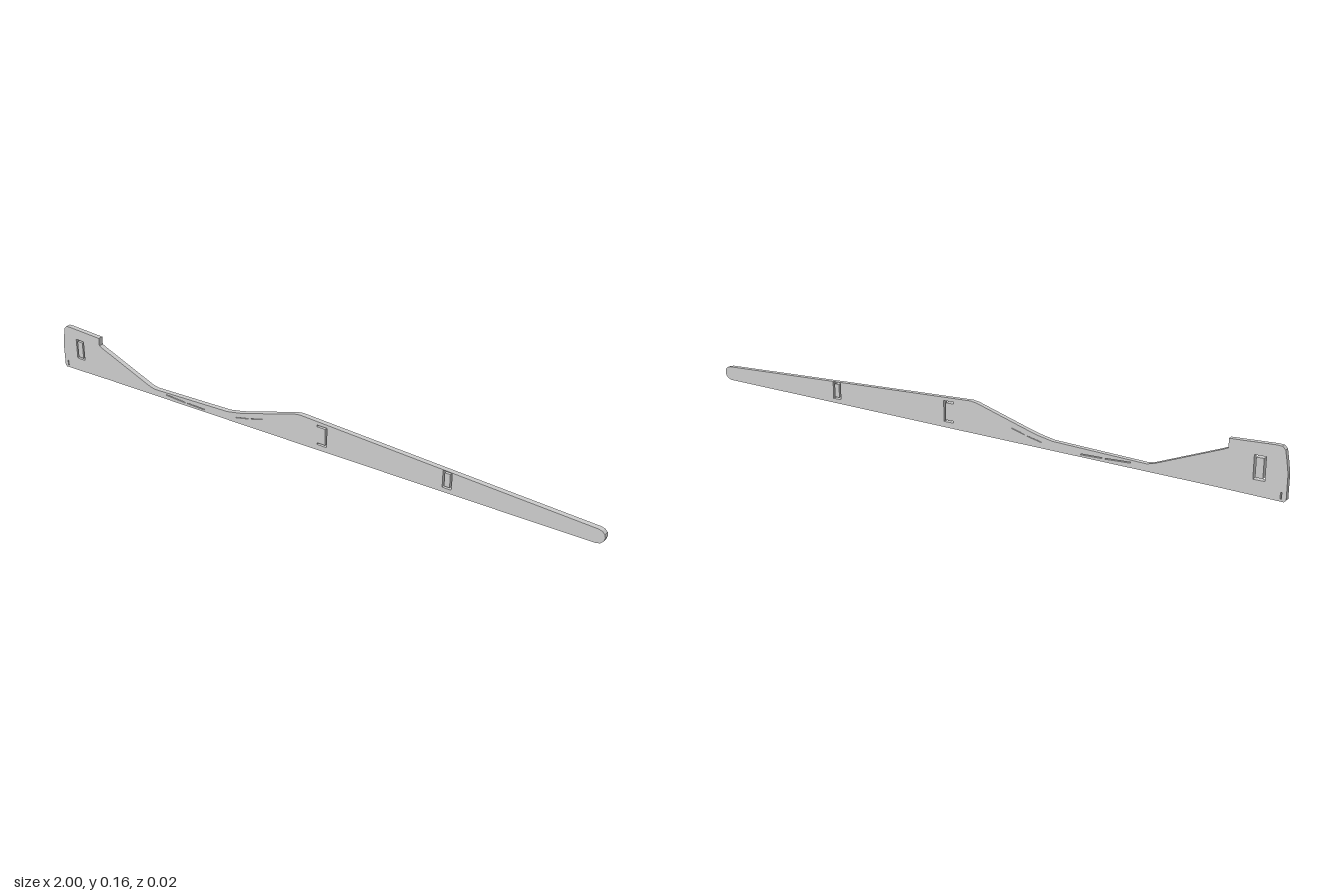
import * as THREE from 'three';

const DEPTH = 0.017;
const GAP = 0.006;

const toPoints = (list) => list.map(([x, y]) => new THREE.Vector2(x, y));

const rect = (x0, x1, y0, y1) => [[x0, y0], [x1, y0], [x1, y1], [x0, y1]];

// Thin slit following a straight line
function slit(ax, ay, bx, by, w) {
  return [[ax, ay - w / 2], [bx, by - w / 2], [bx, by + w / 2], [ax, ay + w / 2]];
}

function plate(name, outline, holes = []) {
  const shape = new THREE.Shape(toPoints(outline));
  holes.forEach((h) => shape.holes.push(new THREE.Path(toPoints(h))));
  const geometry = new THREE.ExtrudeGeometry(shape, { depth: DEPTH, bevelEnabled: false });
  geometry.translate(0, 0, -DEPTH / 2);
  const mesh = new THREE.Mesh(geometry, new THREE.MeshStandardMaterial({ color: 0xcccccc, flatShading: true }));
  mesh.name = name;
  return mesh;
}

export function createModel() {
  const group = new THREE.Group();
  group.name = 'flatBeam';

  // Side profile: end block, thin waist, long tapering arm
  const outline = [
    [-0.994, 0], [-0.8, 0.006], [0, 0.023], [0.975, 0.045],
    [0.988, 0.049], [0.997, 0.058], [1, 0.07], [0.998, 0.08], [0.99, 0.088], [0.978, 0.091],
    [0.0, 0.124], [-0.02, 0.121], [-0.19, 0.069], [-0.235, 0.056], [-0.285, 0.046],
    [-0.59, 0.033], [-0.612, 0.038], [-0.815, 0.117], [-0.83, 0.124],
    [-0.83, 0.151], [-0.965, 0.156], [-0.98, 0.155], [-0.989, 0.146],
    [-0.994, 0.12], [-1, 0.08], [-1, 0.006],
  ];

  // Rectangular cut lines around loose inserts
  const windows = [
    [-0.938, -0.904, 0.048, 0.118],
    [0.5, 0.53, 0.049, 0.105],
  ];

  // Cut line open on one side, leaving a tongue
  const [l, r, b, t] = [0.062, 0.098, 0.043, 0.11];
  const tongueCut = [
    [l, b], [r, b], [r, t], [l, t],
    [l, t - GAP], [r - GAP, t - GAP], [r - GAP, b + GAP], [l, b + GAP],
  ];

  const holes = [
    ...windows.map((w) => rect(...w)),
    tongueCut,
    // Fine slits in the waist and its ramp
    slit(-0.54, 0.027, -0.46, 0.024, 0.003),
    slit(-0.45, 0.024, -0.38, 0.023, 0.003),
    slit(-0.25, 0.036, -0.2, 0.047, 0.002),
    slit(-0.19, 0.05, -0.145, 0.063, 0.002),
    // Small slit in the end corner
    rect(-0.987, -0.983, 0.007, 0.026),
  ];
  group.add(plate('beam', outline, holes));

  windows.forEach(([x0, x1, y0, y1]) => {
    group.add(plate('insert', rect(x0 + GAP, x1 - GAP, y0 + GAP, y1 - GAP)));
  });
  return group;
}
